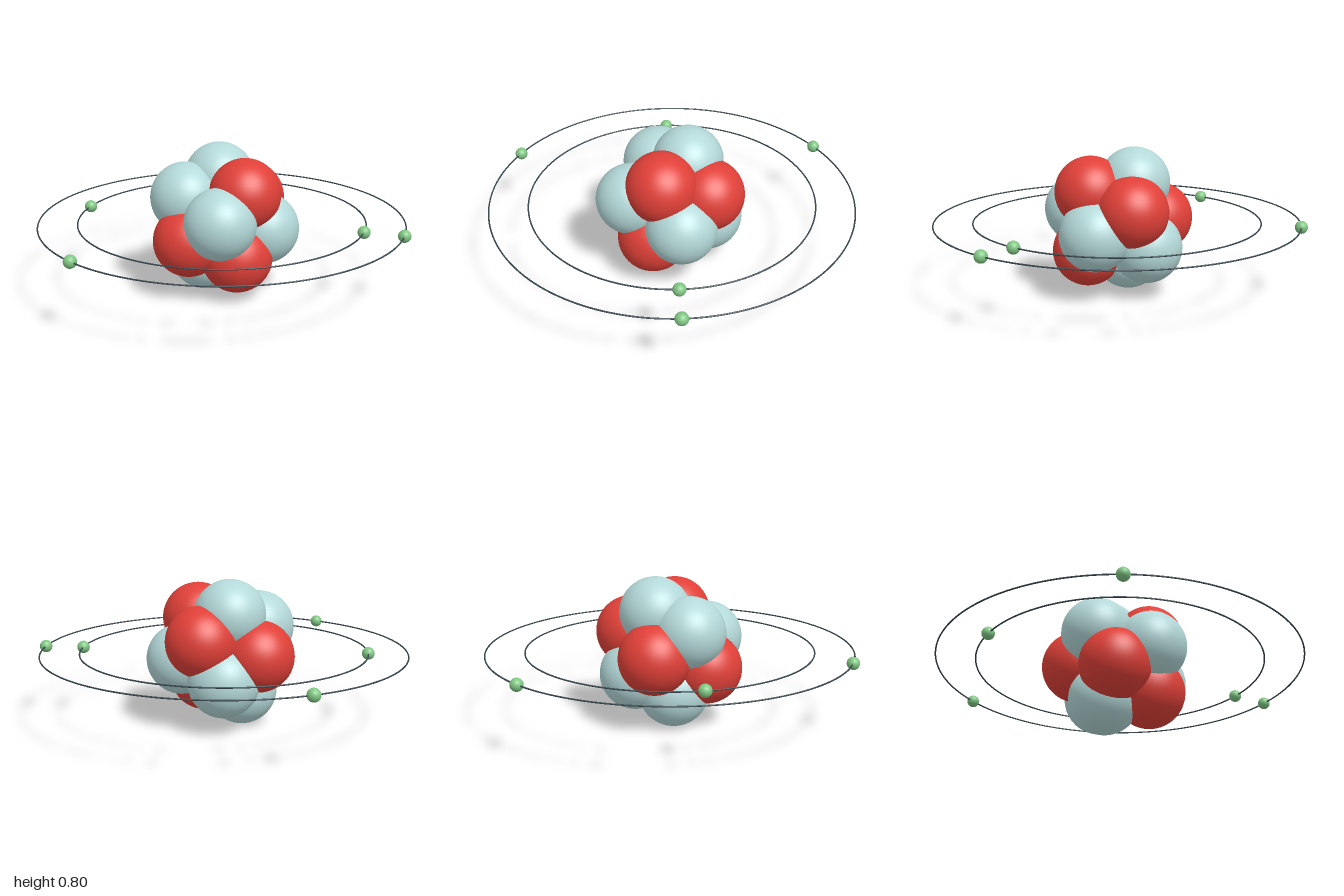
import * as THREE from 'three';

export function createModel() {
  const atom = new THREE.Group();
  atom.name = 'atom';
  const centre = new THREE.Vector3(-0.0155, 0.4, 0);

  const paint = (color) => new THREE.MeshStandardMaterial({ color });
  const red = paint(0xe04038);
  const pale = paint(0xb4d8d8);
  const green = paint(0x81c784);
  const dark = paint(0x37474f);

  function add(parent, name, geometry, material, x = 0, y = 0, z = 0) {
    const mesh = new THREE.Mesh(geometry, material);
    mesh.name = name;
    mesh.position.set(x, y, z);
    parent.add(mesh);
    return mesh;
  }

  // Nucleus: eleven overlapping balls on a golden-angle spiral, bottom to top
  const nucleus = new THREE.Group();
  nucleus.name = 'nucleus';
  const count = 11, spread = 0.23;
  const golden = Math.PI * (3 - Math.sqrt(5));
  const ball = new THREE.SphereGeometry(0.191, 48, 32);
  for (let i = 0; i < count; i++) {
    const h = (2 * i + 1) / count - 1;
    const r = spread * Math.sqrt(1 - h * h);
    const a = Math.PI - i * golden;
    const proton = i % 2 === 1;
    add(nucleus, proton ? 'proton' : 'neutron', ball, proton ? red : pale,
      r * Math.cos(a), spread * h, r * Math.sin(a));
  }
  atom.add(nucleus);

  // Two flat orbits with evenly spaced electrons
  const bead = new THREE.SphereGeometry(0.034, 24, 16);
  const orbits = [
    { name: 'innerShell', radius: 0.772, electrons: 2 },
    { name: 'outerShell', radius: 0.981, electrons: 3 },
  ];
  for (const { name, radius, electrons } of orbits) {
    const shell = new THREE.Group();
    shell.name = name;
    const ring = new THREE.TorusGeometry(radius, 0.004, 8, 160).rotateX(Math.PI / 2);
    add(shell, 'orbitRing', ring, dark);
    for (let i = 0; i < electrons; i++) {
      const a = (i / electrons) * Math.PI * 2;
      add(shell, 'electron', bead, green, radius * Math.cos(a), 0, radius * Math.sin(a));
    }
    atom.add(shell);
  }

  // Lift the whole atom so the nucleus rests on the ground
  for (const part of atom.children) part.position.copy(centre);
  return atom;
}
